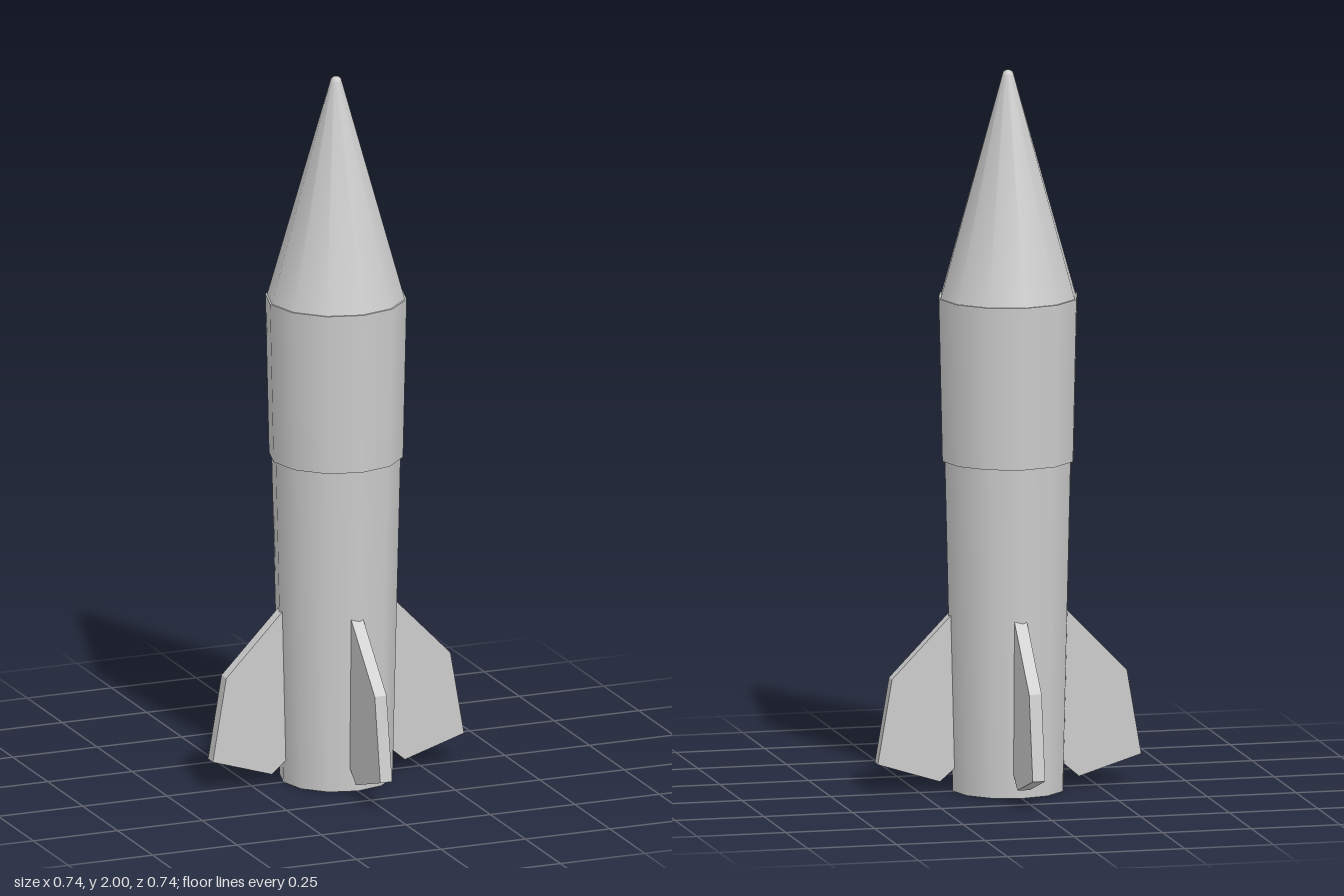
import * as THREE from 'three';

const SIDES = 12;
const grey = new THREE.MeshStandardMaterial({ color: 0xcccccc });

// Lathes each stretch of a profile separately, so edges between stretches stay sharp.
function turned(name, ...stretches) {
  const part = new THREE.Group();
  part.name = name;
  for (const points of stretches) {
    const profile = points.map(([r, y]) => new THREE.Vector2(r, y));
    const mesh = new THREE.Mesh(new THREE.LatheGeometry(profile, SIDES), grey);
    mesh.name = name + 'Surface';
    part.add(mesh);
  }
  return part;
}

// Splits a profile into single sharp-edged segments.
const sharp = (points) => points.slice(1).map((p, i) => [points[i], p]);

export function createModel() {
  const rocket = new THREE.Group();
  rocket.name = 'rocket';

  // Recessed exhaust opening in the base
  rocket.add(turned('nozzle', ...sharp([[0, 0.045], [0.117, 0.045], [0.117, 0], [0.156, 0]])));

  // Lower body, flaring gently upward
  rocket.add(turned('lowerBody', [[0.156, 0], [0.178, 0.918]]));

  // Upper body with a small step below and a narrow shoulder on top
  rocket.add(turned('upperBody', ...sharp([[0.178, 0.918], [0.185, 0.918], [0.195, 1.37], [0.19, 1.37]])));

  // Nose cone with a rounded tip
  rocket.add(turned('noseCone', [[0.19, 1.37], [0.0165, 1.985]]));
  rocket.add(turned('noseTip', [[0.0165, 1.985], [0.014, 1.993], [0.008, 1.998], [0, 2]]));

  // Four swept fins, each set slightly to one side of its axis
  const outline = [[0.14, 0.515], [0.165, 0.49], [0.33, 0.32], [0.37, 0.085], [0.195, 0.03], [0.14, 0.077]];
  const finShape = new THREE.Shape(outline.map(([x, y]) => new THREE.Vector2(x, y)));
  const finGeometry = new THREE.ExtrudeGeometry(finShape, { depth: 0.035, bevelEnabled: false });
  finGeometry.translate(0, 0, -0.013);
  ['leftFin', 'backFin', 'rightFin', 'frontFin'].forEach((name, i) => {
    const fin = new THREE.Mesh(finGeometry, grey);
    fin.name = name;
    fin.rotation.y = (i * Math.PI) / 2;
    rocket.add(fin);
  });

  return rocket;
}
